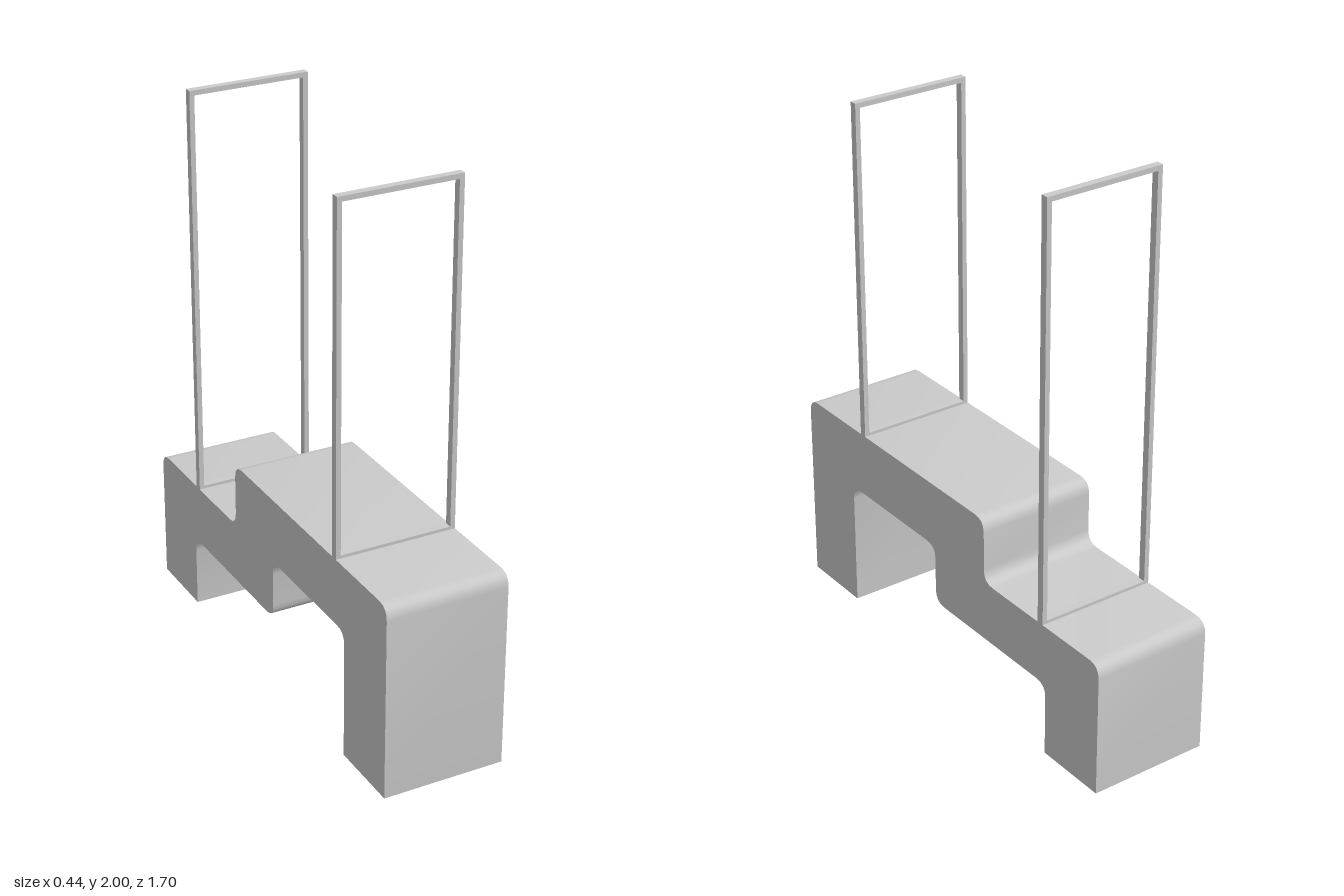
import * as THREE from 'three';
import { toCreasedNormals } from 'three/addons/utils/BufferGeometryUtils.js';

const HALF_WIDTH = 0.222;
const material = new THREE.MeshStandardMaterial({ color: 0xcccccc });

// Closed shape whose corners [x, y, radius] are rounded when radius > 0
function roundedShape(corners) {
  const shape = new THREE.Shape();
  const n = corners.length;
  corners.forEach(([x, y, r], i) => {
    const p = new THREE.Vector2(x, y);
    const toward = ([cx, cy]) => new THREE.Vector2(cx, cy).sub(p).setLength(r).add(p);
    const a = r ? toward(corners[(i + n - 1) % n]) : p;
    if (i === 0) shape.moveTo(a.x, a.y);
    else shape.lineTo(a.x, a.y);
    if (r) {
      const b = toward(corners[(i + 1) % n]);
      shape.quadraticCurveTo(x, y, b.x, b.y);
    }
  });
  shape.closePath();
  return shape;
}

// Stepped bridge body: side profile in (z, y), extruded across the width
function createBody() {
  const r = 0.05;
  const shape = roundedShape([
    [0.85, 0.02, 0], [0.85, 0.737, r], [-0.228, 0.737, r], [-0.228, 0.497, r],
    [-0.85, 0.497, r], [-0.85, 0, 0], [-0.573, 0, 0], [-0.573, 0.273, r],
    [0.058, 0.273, r], [0.058, 0.497, r], [0.573, 0.497, r], [0.573, 0.02, 0],
  ]);
  const geometry = new THREE.ExtrudeGeometry(shape, {
    depth: 2 * HALF_WIDTH, bevelEnabled: false, curveSegments: 4,
  });
  geometry.translate(0, 0, -HALF_WIDTH);
  geometry.rotateY(-Math.PI / 2);
  const body = new THREE.Mesh(toCreasedNormals(geometry, 0.8), material);
  body.name = 'steppedBody';
  return body;
}

// Thin rectangular frame standing on the body
function createFrame(name, z, bottom, top) {
  const bar = 0.018, depth = 0.027;
  const rectangle = (path, w, y0, y1) => path.moveTo(-w, y0).lineTo(w, y0).lineTo(w, y1).lineTo(-w, y1).closePath();
  const shape = new THREE.Shape();
  rectangle(shape, HALF_WIDTH, bottom, top);
  const opening = new THREE.Path();
  rectangle(opening, HALF_WIDTH - bar, bottom + bar, top - bar);
  shape.holes.push(opening);
  const geometry = new THREE.ExtrudeGeometry(shape, { depth, bevelEnabled: false });
  geometry.translate(0, 0, z - depth / 2);
  const frame = new THREE.Mesh(geometry, material);
  frame.name = name;
  return frame;
}

export function createModel() {
  const model = new THREE.Group();
  model.name = 'steppedBridgeWithFrames';
  model.add(
    createBody(),
    createFrame('frontFrame', 0.5, 0.73, 1.98),
    createFrame('rearFrame', -0.541, 0.49, 2),
  );
  return model;
}
